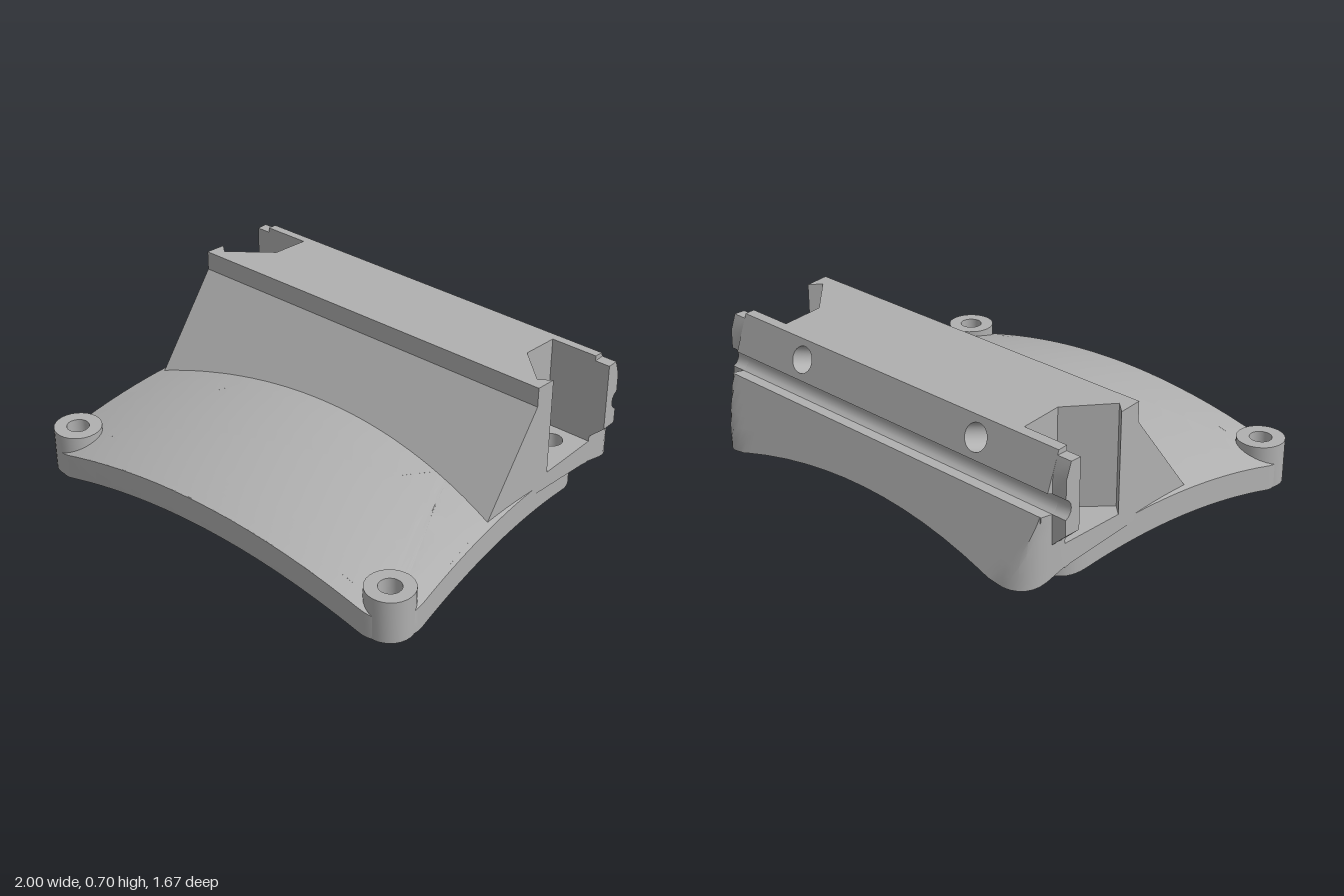
import * as THREE from 'three';
import { toCreasedNormals } from 'three/addons/utils/BufferGeometryUtils.js';

// Saddle-shaped surface of the base plate
const crown = (x, z) => 0.345 - 0.145 * (x / 0.95) ** 2 - 0.11 * ((z - 0.05) / 0.78) ** 2;
const under = (x, z) => Math.max(0, crown(x, z) - 0.118);

function fromTriangles(tris) {
  const geo = new THREE.BufferGeometry();
  geo.setAttribute('position', new THREE.Float32BufferAttribute(tris.flat(2), 3));
  return toCreasedNormals(geo, 0.5);
}

// Plan outline (x, z) turned into a solid between two height functions
function solid(shape, topY, bottomY, maxEdge = 0.14) {
  let geo = new THREE.ExtrudeGeometry(shape, { depth: 1, bevelEnabled: false, curveSegments: 14 });
  geo.rotateX(-Math.PI / 2);
  if (geo.index) geo = geo.toNonIndexed();
  const p = geo.attributes.position, stack = [], done = [];
  const at = (i) => [p.getX(i), p.getY(i), p.getZ(i)];
  for (let i = 0; i < p.count; i += 3) stack.push([at(i), at(i + 1), at(i + 2)]);
  // split long edges so the caps can bend
  while (stack.length) {
    const t = stack.pop();
    const len = t.map((a, i) => Math.hypot(a[0] - t[(i + 1) % 3][0], a[2] - t[(i + 1) % 3][2]));
    const k = len.indexOf(Math.max(...len));
    if (len[k] < maxEdge) { done.push(t); continue; }
    const a = t[k], b = t[(k + 1) % 3], c = t[(k + 2) % 3];
    const m = a.map((v, i) => (v + b[i]) / 2);
    stack.push([a, m, c], [m, b, c]);
  }
  return fromTriangles(done.map((t) => t.map(([x, y, z]) => {
    const lo = bottomY(x, z);
    return [x, lo + (topY(x, z) - lo) * y, z];
  })));
}

// Rings of (z, y) points joined along x, with flat ends
function loft(rings, skip = () => false) {
  const tris = [];
  const add = (a, b, c) => {
    const u = new THREE.Vector3(...b).sub(new THREE.Vector3(...a));
    if (u.cross(new THREE.Vector3(...c).sub(new THREE.Vector3(...a))).length() > 1e-9) tris.push([a, b, c]);
  };
  const pt = (r, i) => [r.x, r.pts[i][1], r.pts[i][0]];
  for (let s = 0; s + 1 < rings.length; s++) {
    const A = rings[s], B = rings[s + 1], n = A.pts.length;
    for (let i = 0; i < n; i++) {
      if (skip(i, A, B)) continue;
      const j = (i + 1) % n;
      add(pt(A, i), pt(B, j), pt(A, j));
      add(pt(A, i), pt(B, i), pt(B, j));
    }
  }
  [[rings[0], false], [rings[rings.length - 1], true]].forEach(([r, plus]) => {
    const c = r.pts.map(([z, y]) => new THREE.Vector2(z, y));
    THREE.ShapeUtils.triangulateShape(c, []).forEach(([i, j, k]) => {
      const ccw = THREE.ShapeUtils.area([c[i], c[j], c[k]]) > 0;
      if (ccw === plus) add(pt(r, i), pt(r, k), pt(r, j));
      else add(pt(r, i), pt(r, j), pt(r, k));
    });
  });
  return fromTriangles(tris);
}

const outline = (pts) => new THREE.Shape(pts.map(([x, z]) => new THREE.Vector2(x, -z)));
const circle = (x, z, r) => new THREE.Path().absarc(x, -z, r, 0, Math.PI * 2, true);
const disc = (x, z, r) => new THREE.Shape().absarc(x, -z, r, 0, Math.PI * 2, false);

// Round cable groove at the back of the block
const groove = Array.from({ length: 7 }, (_, i) => {
  const a = THREE.MathUtils.degToRad(70 - i * 70 / 3);
  return [-0.694 + 0.047 * Math.cos(a), 0.44 + 0.047 * Math.sin(a)];
});

// Side profile of the block at one x; open = inside a corner pocket
function blockRing(x, open) {
  const ax = Math.abs(x);
  const roof = (z) => 0.7 + (z + 0.18) * 0.086;
  const zc = ax <= 0.71 ? -0.41 : ax < 0.88 ? -0.41 + (ax - 0.71) : -0.24 - (ax - 0.88) * 0.9;
  let footY = 0.25, footZ = 0;
  for (let i = 0; i < 20; i++) {
    footZ = -0.18 + (0.61 - footY) * 0.775;
    footY = crown(x, footZ) - 0.01;
  }
  // the tail leans back and has rounded corners in plan
  const limit = ax < 0.79 ? -9 : -0.7 - Math.sqrt(Math.max(0, 0.0196 - (ax - 0.79) ** 2));
  const back = (y) => Math.max(limit, -0.74 - (0.405 - y) * 0.352);
  let endY = 0.15;
  for (let i = 0; i < 20; i++) endY = crown(x, back(endY));
  const tail = [1, 2, 3, 4, 5, 6].map((i) => {
    const y = 0.405 + (endY - 0.405) * i / 6;
    return [back(y), y];
  });
  return { x, open, pts: [
    [footZ, footY], [-0.18, 0.61], [-0.18, 0.7], [zc, roof(zc)],
    [zc, open ? 0.235 : roof(zc)], [-0.6, open ? 0.235 : roof(-0.6)], [-0.6, roof(-0.6)],
    [-0.645, 0.66], [-0.705, 0.495], ...groove, [-0.74, 0.405], ...tail, [-0.6, crown(x, -0.6)],
  ] };
}

export function createModel() {
  const model = new THREE.Group();
  const grey = new THREE.MeshStandardMaterial({ color: 0xb0b0b0, side: THREE.DoubleSide });
  grey.name = 'plain grey';
  const add = (name, geo) => {
    const mesh = new THREE.Mesh(geo, grey);
    mesh.name = name;
    model.add(mesh);
  };
  const sides = [-1, 1];

  // Curved base plate with screw holes and nut slots
  const plate = new THREE.Shape();
  plate.moveTo(-0.82, -0.83);
  plate.lineTo(0.82, -0.83);
  plate.quadraticCurveTo(1, -0.83, 0.995, -0.64);
  plate.lineTo(0.91, 0.44);
  plate.quadraticCurveTo(0.9, 0.6, 0.74, 0.6);
  plate.lineTo(-0.74, 0.6);
  plate.quadraticCurveTo(-0.9, 0.6, -0.91, 0.44);
  plate.lineTo(-0.995, -0.64);
  plate.quadraticCurveTo(-1, -0.83, -0.82, -0.83);
  const slot = (s) => [[0, 0.22], [0.09, 0.08], [0.09, -0.08], [0, -0.2], [-0.09, -0.08], [-0.09, 0.08]]
    .map(([x, z]) => [s * 0.52 + x, z]);
  sides.forEach((s) => {
    plate.holes.push(circle(s * 0.89, 0.715, 0.05), circle(s * 0.8, -0.505, 0.05), outline(slot(s)));
  });
  add('basePlate', solid(plate, crown, under, 0.1));

  // Block lofted along x, with open corner pockets
  const half = [
    ...[0, 0.12, 0.24, 0.36, 0.48, 0.6, 0.71].map((x) => [x, false]),
    ...[0.71, 0.75, 0.79, 0.82, 0.85, 0.88, 0.9, 0.915, 0.925, 0.93].map((x) => [x, true]),
  ];
  const rings = [
    ...half.slice(1).reverse().map(([x, o]) => blockRing(-x, o)),
    ...half.map(([x, o]) => blockRing(x, o)),
  ];
  add('block', loft(rings, (i, A, B) => i === 7 || i === 23 || (i === 4 && A.open && B.open)));

  // Sloping back face with two screw holes
  const L = Math.hypot(0.06, 0.165);
  const place = new THREE.Matrix4().makeBasis(
    new THREE.Vector3(-1, 0, 0),
    new THREE.Vector3(0, 0.165 / L, 0.06 / L),
    new THREE.Vector3(0, 0.06 / L, -0.165 / L),
  ).setPosition(0, 0.495, -0.705);
  const face = new THREE.Shape([[-0.93, 0], [0.93, 0], [0.93, L], [-0.93, L]].map((p) => new THREE.Vector2(...p)));
  sides.forEach((s) => face.holes.push(circle(s * 0.52, -L / 2, 0.059)));
  add('backFace', new THREE.ShapeGeometry(face, 16).applyMatrix4(place));

  sides.forEach((s) => {
    const side = s > 0 ? 'left' : 'right';
    add(side + 'ScrewBore', new THREE.CylinderGeometry(0.059, 0.059, 0.5, 32, 1, true)
      .rotateX(Math.PI / 2).translate(s * 0.52, L / 2, -0.25).applyMatrix4(place));
    add(side + 'ScrewBoreEnd', new THREE.CircleGeometry(0.059, 32)
      .translate(s * 0.52, L / 2, -0.5).applyMatrix4(place));

    // Sloping roof of the nut slot
    add(side + 'NutSlotRoof', solid(outline(slot(s)), crown,
      (x, z) => Math.min(crown(x, z) - 0.015, under(x, z) + (0.22 - z) * 0.36), 0.08));

    // Front corner boss
    const boss = disc(s * 0.89, 0.715, 0.107);
    boss.holes.push(circle(s * 0.89, 0.715, 0.05));
    add(side + 'Boss', solid(boss, () => 0.2, under));

    // Pocket floor around the rear screw hole
    const floor = outline([[0.71, -0.41], [0.88, -0.24], [0.93, -0.285], [0.93, -0.6], [0.71, -0.6]]
      .map(([x, z]) => [s * x, z]));
    floor.holes.push(circle(s * 0.8, -0.505, 0.05));
    add(side + 'PocketFloor', solid(floor, () => 0.235, (x, z) => crown(x, z) - 0.005));

    // End flange with chamfered foot, sharing the groove
    const flange = [[0.925, 0.255], [1, 0.325]].map(([x, low]) => ({ x: s * x, pts: [
      [-0.6, 0.64], [-0.652, 0.64], [-0.677, 0.57], ...groove, [-0.677, low], [-0.6, low],
    ] }));
    add(side + 'Flange', loft(s > 0 ? flange : flange.reverse()));
  });
  return model;
}
